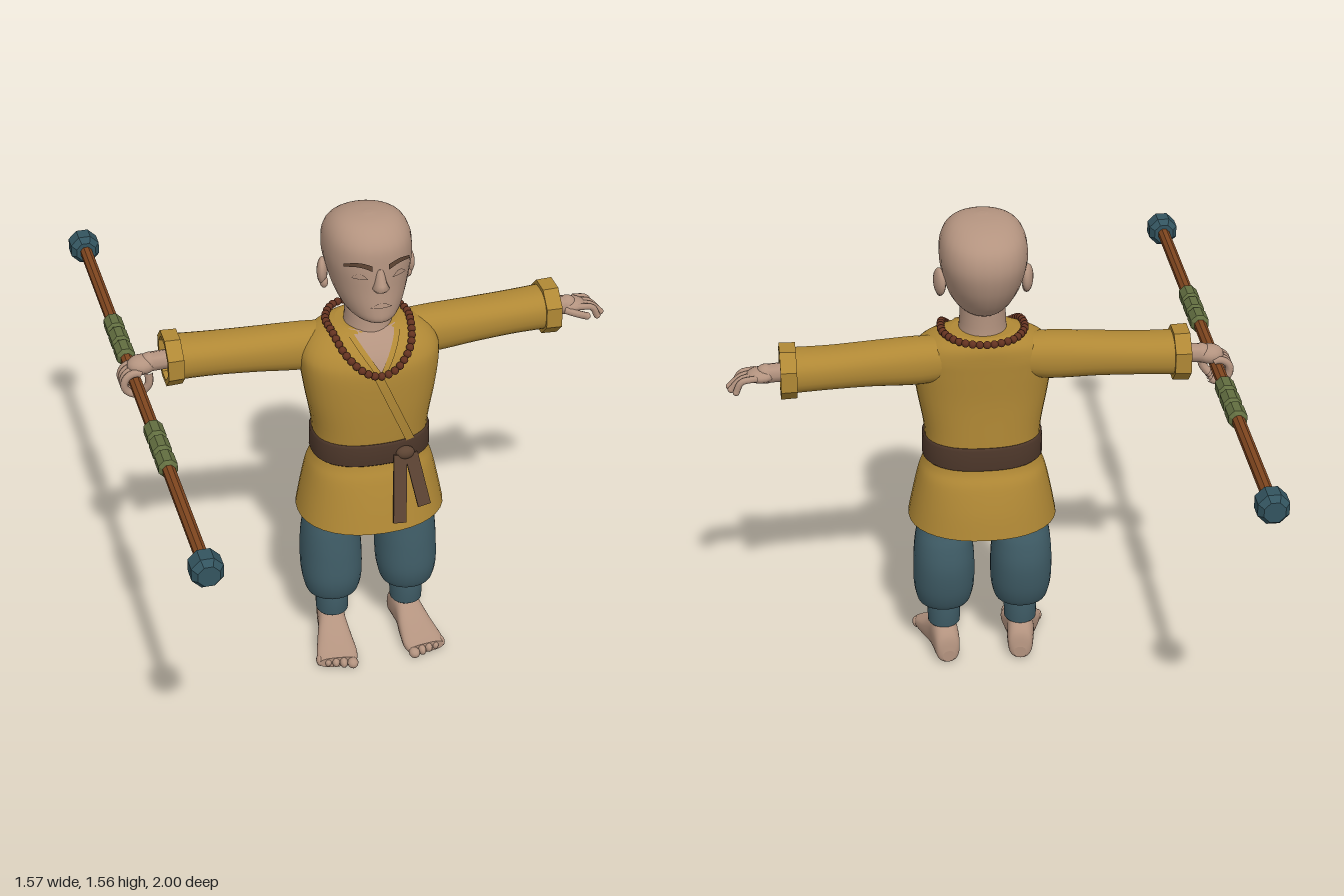
import * as THREE from 'three';

const mat = (name, color, side = THREE.FrontSide) => {
  const m = new THREE.MeshStandardMaterial({ color, side });
  m.name = name;
  return m;
};

// Sections are [height, centreX, halfWidth, zFront, zBack, squareness]; smooth() adds in-between ones.
function smooth(sections, k = 5) {
  const out = [];
  const at = (i) => sections[Math.min(sections.length - 1, Math.max(0, i))];
  for (let i = 0; i < sections.length - 1; i++)
    for (let s = 0; s < k; s++) {
      const t = s / k;
      out.push(at(i).map((b, c) => {
        const a = at(i - 1)[c], d = at(i + 1)[c], e = at(i + 2)[c];
        return b + 0.5 * t * (d - a + t * (2 * a - 5 * b + 4 * d - e + t * (3 * (b - d) + e - a)));
      }));
    }
  out.push(at(sections.length - 1));
  return out;
}

function loft(sections, seg = 28, capped = true) {
  const pos = [], idx = [];
  const pw = (v, n) => Math.sign(v) * Math.pow(Math.abs(v), 2 / n);
  const ring = ([y, cx, rx, zf, zb, n]) => {
    for (let j = 0; j < seg; j++) {
      const a = (j / seg) * Math.PI * 2;
      pos.push(cx + rx * pw(Math.cos(a), n), y, (zf + zb) / 2 + ((zf - zb) / 2) * pw(Math.sin(a), n));
    }
  };
  sections.forEach(ring);
  for (let i = 0; i < sections.length - 1; i++)
    for (let j = 0; j < seg; j++) {
      const k = (j + 1) % seg, a = i * seg + j, c = i * seg + k;
      idx.push(a, a + seg, c, a + seg, c + seg, c);
    }
  if (capped)
    [sections[0], sections[sections.length - 1]].forEach((s, top) => {
      const base = pos.length / 3;
      ring(s);
      pos.push(s[1], s[0], (s[3] + s[4]) / 2);
      for (let j = 0; j < seg; j++) {
        const k = base + ((j + 1) % seg);
        idx.push(base + seg, top ? k : base + j, top ? base + j : k);
      }
    });
  return build(pos, idx);
}

function build(pos, idx) {
  const g = new THREE.BufferGeometry();
  g.setAttribute('position', new THREE.Float32BufferAttribute(pos, 3));
  g.setIndex(idx);
  g.computeVertexNormals();
  return g;
}

// Front surface of a loft, used to lay thin patches on it
function frontZ(sections, x, y) {
  let i = 0;
  while (i < sections.length - 2 && sections[i + 1][0] < y) i++;
  const a = sections[i], b = sections[i + 1];
  const t = THREE.MathUtils.clamp((y - a[0]) / (b[0] - a[0]), 0, 1);
  const [, cx, rx, zf, zb, n] = a.map((v, c) => v + (b[c] - v) * t);
  const q = Math.min(1, Math.abs((x - cx) / rx));
  return (zf + zb) / 2 + ((zf - zb) / 2) * Math.pow(1 - Math.pow(q, n), 1 / n);
}

function patch(sections, lift, f, nu = 6, nv = 10) {
  const pos = [], idx = [];
  for (let j = 0; j <= nv; j++)
    for (let i = 0; i <= nu; i++) {
      const [x, y] = f(i / nu, j / nv);
      pos.push(x, y, frontZ(sections, x, y) + lift);
      if (i < nu && j < nv) {
        const a = j * (nu + 1) + i, c = a + nu + 1;
        idx.push(a, a + 1, c, a + 1, c + 1, c);
      }
    }
  return build(pos, idx);
}

function flatLathe(points, seg = 8) {
  const g = new THREE.LatheGeometry(points.map((p) => new THREE.Vector2(...p)), seg).rotateY(Math.PI / seg).toNonIndexed();
  g.computeVertexNormals();
  return g;
}

export function createModel() {
  const skin = mat('skin', 0xb3937f), gold = mat('tunic gold', 0xb08835, THREE.DoubleSide);
  const teal = mat('trouser teal', 0x3f5c66), belt = mat('belt brown', 0x4d372a), sash = mat('sash brown', 0x5d4433);
  const bead = mat('bead brown', 0x633220), wood = mat('staff wood', 0x80461f);
  const green = mat('grip green', 0x626e40), cap = mat('staff end teal', 0x33545f);

  const model = new THREE.Group();
  const body = new THREE.Group();
  body.name = 'body';
  body.position.x = -0.01;
  model.add(body);
  const add = (name, g, m, x = 0, y = 0, z = 0) => {
    const o = new THREE.Mesh(g, m);
    o.name = name;
    o.position.set(x, y, z);
    body.add(o);
    return o;
  };
  const ball = (name, m, x, y, z, a, b, c) => {
    const o = add(name, new THREE.SphereGeometry(1, 16, 12), m, x, y, z);
    o.scale.set(a, b, c);
    return o;
  };
  const rod = (name, m, r, ...pts) => {
    const c = new THREE.CatmullRomCurve3(pts.map((p) => new THREE.Vector3(...p)));
    add(name, new THREE.TubeGeometry(c, 8, r, 8), m);
    const e = pts[pts.length - 1];
    ball(name + 'Tip', m, e[0], e[1], e[2], r, r, r);
  };

  // Head, neck and face
  const head = smooth([
    [1.245, 0, 0.05, 0.125, -0.07, 2], [1.262, 0, 0.078, 0.15, -0.11, 2], [1.30, 0, 0.102, 0.15, -0.148, 2],
    [1.36, 0, 0.122, 0.142, -0.182, 2.1], [1.43, 0, 0.135, 0.137, -0.198, 2.2], [1.49, 0, 0.13, 0.128, -0.182, 2.2],
    [1.53, 0, 0.108, 0.098, -0.135, 2.1], [1.552, 0, 0.07, 0.055, -0.075, 2], [1.56, 0, 0.012, 0.005, -0.015, 2]]);
  add('head', loft(head), skin);
  add('neck', loft(smooth([[1.13, 0, 0.09, 0.08, -0.11, 2], [1.19, 0, 0.074, 0.066, -0.095, 2], [1.30, 0, 0.07, 0.055, -0.095, 2]])), skin);
  const nose = add('nose', loft([[1.365, 0, 0.021, 0.16, 0.11, 2], [1.375, 0, 0.026, 0.172, 0.11, 2],
    [1.39, 0, 0.019, 0.165, 0.11, 2], [1.435, 0, 0.011, 0.138, 0.11, 2]], 12), skin);
  nose.name = 'nose';
  add('lips', patch(head, 0.004, (u, v) => [(u - 0.5) * 0.07, 1.31 + v * 0.017 * Math.sin(Math.PI * u)]), skin);
  for (const s of [1, -1]) {
    const ear = ball('ear', skin, s * 0.135, 1.355, -0.045, 0.017, 0.045, 0.033);
    ear.rotation.y = s * 0.3;
    ball('earLobe', skin, s * 0.133, 1.322, -0.033, 0.013, 0.02, 0.018);
    add('eyebrow', patch(head, 0.006, (u, v) => {
      const t = s > 0 ? u : 1 - u;
      return [s * (0.026 + 0.077 * t), 1.437 + 0.016 * Math.sin(Math.PI * Math.min(1, t * 0.8 + 0.1)) + (v - 0.5) * (0.018 - 0.008 * t)];
    }), sash);
    add('closedEye', patch(head, 0.004, (u, v) => [s * 0.062 + (u - 0.5) * 0.05,
      1.405 + 0.018 * v * Math.sin(Math.PI * u)]), skin);
  }

  // Tunic with open collar and crossed lapel
  const torso = smooth([
    [0.74, 0, 0.183, 0.133, -0.138, 2.4], [0.84, 0, 0.184, 0.142, -0.136, 2.4], [0.96, 0, 0.205, 0.147, -0.134, 2.4],
    [1.06, 0, 0.219, 0.145, -0.138, 2.4], [1.11, 0, 0.215, 0.128, -0.14, 2.4], [1.15, 0, 0.185, 0.098, -0.138, 2.3],
    [1.178, 0, 0.13, 0.068, -0.125, 2.2], [1.186, 0, 0.1, 0.052, -0.11, 2]]);
  add('tunicTop', loft(torso, 36), gold);
  add('chest', patch(torso, 0.004, (u, v) => [(u - 0.5) * 0.15 * v, 1.075 + 0.11 * v]), skin);
  for (const s of [1, -1])
    add('collar', patch(torso, 0.009, (u, v) => [s * 0.078 * v + (u - 0.5) * 0.02, 1.065 + 0.12 * v], 2), gold);
  add('lapel', patch(torso, 0.006, (u, v) => [0.1 - 0.115 * v + (u - 0.5) * 0.03, 0.81 + 0.27 * v], 2, 14), gold);
  add('skirt', loft(smooth([
    [0.52, 0, 0.236, 0.202, -0.2, 2.2], [0.60, 0, 0.221, 0.181, -0.186, 2.2], [0.68, 0, 0.203, 0.156, -0.163, 2.3],
    [0.72, 0, 0.189, 0.139, -0.143, 2.3], [0.75, 0, 0.178, 0.13, -0.135, 2.4]]), 36, false), gold);

  // Belt, knot and hanging ends
  add('belt', loft([[0.738, 0, 0.183, 0.14, -0.14, 2.4], [0.745, 0, 0.19, 0.148, -0.146, 2.4],
    [0.81, 0, 0.189, 0.15, -0.146, 2.4], [0.817, 0, 0.181, 0.142, -0.138, 2.4]], 36), belt);
  ball('beltKnot', sash, 0.078, 0.777, 0.148, 0.03, 0.022, 0.02);
  for (const [x, len, tilt] of [[0.065, 0.225, -0.07], [0.1, 0.18, 0.18]]) {
    const tail = add('sashTail', new THREE.BoxGeometry(0.042, len, 0.009).translate(0, -len / 2, 0), sash, x - 0.005, 0.775, 0.154);
    tail.rotation.set(-0.25, 0, tilt);
  }

  // Bead necklace
  const half = [[0.05, 1.088, 0.15], [0.1, 1.135, 0.115], [0.124, 1.178, 0.04], [0.126, 1.185, -0.05], [0.08, 1.185, -0.125]];
  const loop = new THREE.CatmullRomCurve3([[0, 1.07, 0.153], ...half, [0, 1.182, -0.147],
    ...half.slice().reverse().map(([x, y, z]) => [-x, y, z])].map((p) => new THREE.Vector3(...p)), true);
  for (const p of loop.getSpacedPoints(44).slice(1)) ball('bead', bead, p.x, p.y, p.z, 0.0125, 0.0125, 0.0125);

  for (const s of [1, -1]) {
    // Sleeve and faceted cuff
    const arm = (t, y, ry, z, rz) => [t, -s * y, ry, z + rz, z - rz, 2.3];
    add('sleeve', loft(smooth([arm(0.1, 1.10, 0.062, -0.05, 0.065), arm(0.2, 1.095, 0.073, -0.053, 0.072),
      arm(0.35, 1.097, 0.067, -0.065, 0.073), arm(0.48, 1.097, 0.064, -0.077, 0.074), arm(0.6, 1.097, 0.066, -0.085, 0.077)]))
      .rotateZ(-s * Math.PI / 2), gold);
    add('cuff', flatLathe([[0.07, 0], [0.085, 0], [0.087, 0.05], [0.069, 0.05], [0.064, 0.015], [0, 0.015]])
      .scale(1, 1, 1.06).rotateZ(-s * Math.PI / 2), gold, s * 0.581, 1.096, -0.085);

    // Trouser leg, shin wrap and bare foot
    const x = s * 0.125;
    add('trouserLeg', loft(smooth([
      [0.195, x, 0.07, 0.065, -0.07, 2], [0.21, x, 0.085, 0.085, -0.092, 2.1], [0.27, x, 0.097, 0.1, -0.115, 2.2],
      [0.36, x, 0.098, 0.096, -0.127, 2.2], [0.44, x, 0.092, 0.087, -0.117, 2.2], [0.52, x * 0.96, 0.082, 0.077, -0.095, 2.1],
      [0.68, x * 0.75, 0.085, 0.085, -0.09, 2]])), teal);
    add('shinWrap', loft([[0.113, x, 0.047, 0.046, -0.052, 2], [0.12, x, 0.052, 0.055, -0.06, 2],
      [0.19, x, 0.054, 0.058, -0.062, 2], [0.2, x, 0.048, 0.05, -0.056, 2]]), teal);
    const foot = add('foot', loft(smooth([
      [-0.068, 0, 0.02, -0.005, -0.045, 2.4], [-0.055, 0, 0.038, 0, -0.095, 2.6], [-0.01, 0, 0.044, 0, -0.13, 2.6],
      [0.04, 0, 0.046, 0, -0.115, 2.6], [0.1, 0, 0.057, 0, -0.075, 2.8], [0.16, 0, 0.066, 0, -0.048, 2.8],
      [0.195, 0, 0.06, 0, -0.036, 2.8]])).rotateX(Math.PI / 2), skin, x, 0, -0.022);
    foot.rotation.y = s * 0.12;
    for (let i = 0; i < 5; i++) {
      const toe = new THREE.Mesh(new THREE.SphereGeometry(1, 12, 8), skin);
      toe.name = 'toe';
      const r = i ? 0.013 : 0.018;
      toe.position.set(s * (-0.046 + i * 0.025 + (i ? 0.004 : 0)), 0.017, 0.203 - i * 0.007);
      toe.scale.set(r, 0.017, 0.022);
      foot.add(toe);
    }
    rod('wrist', skin, 0.031, [s * 0.58, 1.093, -0.085], [s * 0.64, 1.092, -0.085], [s * 0.675, 1.09, -0.086]);
  }

  // Open left hand
  ball('palm', skin, 0.69, 1.088, -0.088, 0.045, 0.022, 0.041);
  for (let i = 0; i < 4; i++) {
    const z = -0.122 + i * 0.022, e = [0.77, 0.785, 0.79, 0.772][i];
    rod('finger', skin, 0.0105, [0.7, 1.092, z], [0.75, 1.083, z - 0.002], [e - 0.003, 1.05, z - 0.003]);
  }
  rod('thumb', skin, 0.012, [0.66, 1.085, -0.06], [0.695, 1.075, -0.045], [0.73, 1.06, -0.047]);

  // Right hand wrapped round the staff
  const sx = -0.725, sy = 1.04, sz = -0.085;
  ball('fistPalm', skin, -0.7, 1.085, sz, 0.045, 0.03, 0.04);
  for (let i = 0; i < 4; i++)
    add('grippingFinger', new THREE.TorusGeometry(0.036, 0.0125, 8, 20, Math.PI * 1.4).rotateZ(Math.PI * 0.35), skin, sx, sy, sz - 0.03 + i * 0.021);
  rod('grippingThumb', skin, 0.013, [-0.685, 1.075, -0.05], [-0.685, 1.035, -0.05], [-0.71, 1.0, -0.06]);

  // Staff with segmented grips and faceted ends
  const along = (g) => g.rotateX(Math.PI / 2);
  add('staff', along(flatLathe([[0.02, -0.95], [0.02, 0.95]])), wood, sx, sy);
  for (const s of [1, -1]) {
    add('staffEnd', along(flatLathe([[0, -0.045], [0.034, -0.045], [0.05, -0.025], [0.05, 0.025], [0.034, 0.045], [0, 0.045]])),
      cap, sx, sy, s * 0.955);
    for (let i = 0; i < 3; i++)
      add('staffGrip', along(flatLathe([[0.019, -0.042], [0.031, -0.03], [0.031, 0.03], [0.019, 0.042]])), green, sx, sy, s * (0.243 + i * 0.083));
  }
  return model;
}
